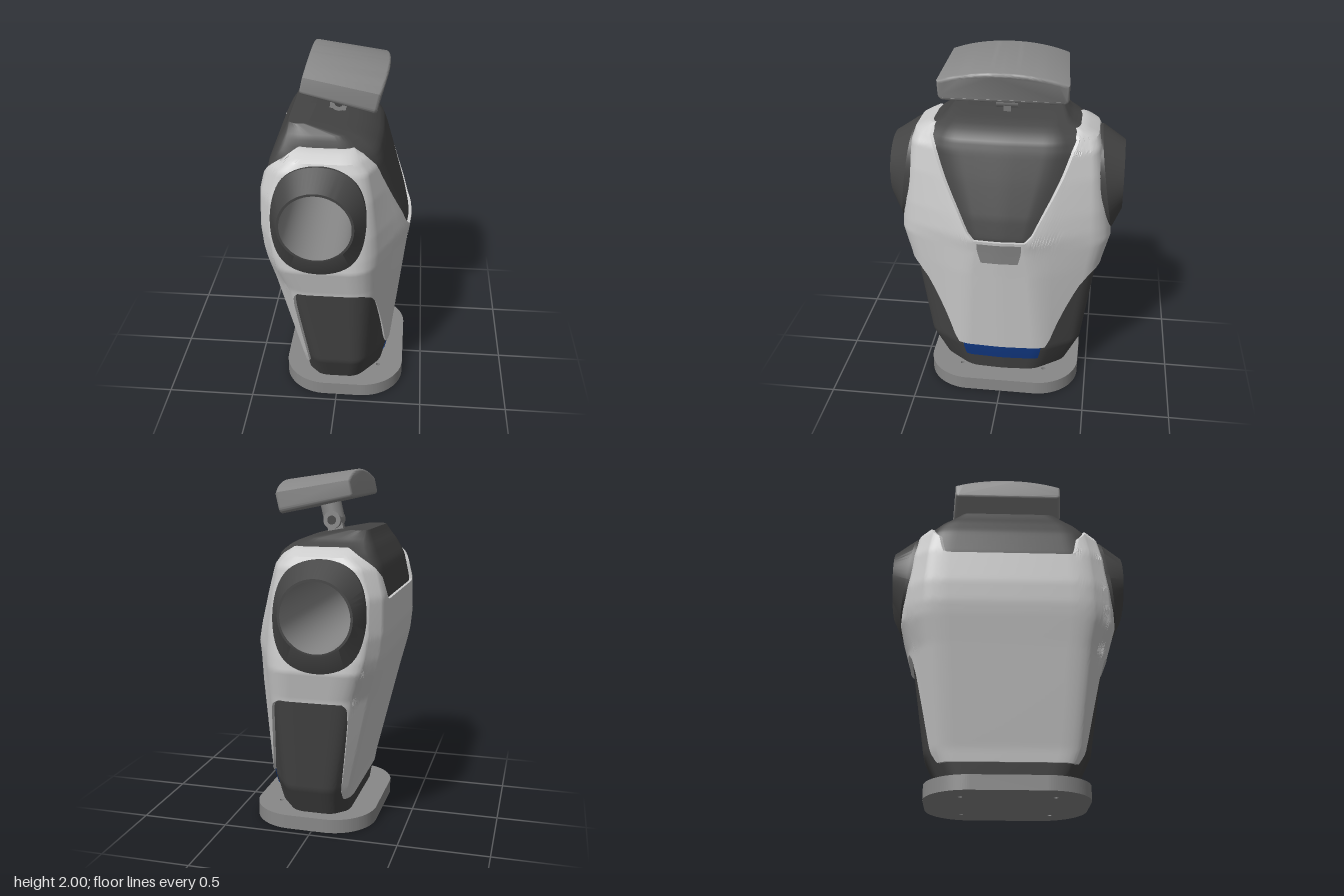
import * as THREE from 'three';
import { toCreasedNormals } from 'three/addons/utils/BufferGeometryUtils.js';

const mat = (color) => new THREE.MeshStandardMaterial({ color, side: THREE.DoubleSide });
const LIGHT = mat(0xcccccc), DARK = mat(0x444444), MID = mat(0x888888), BLUE = mat(0x123a86);
const AXIS = { x: -0.085, y: 1.265 }; // shoulder bore

// Torso sections: y, front x, chest half width, side front x, side z, side back x, back half width, back x
const SECTIONS = [
  [0.08, 0.275, 0.2, 0.12, 0.39, -0.1, 0.3, -0.19],
  [0.25, 0.31, 0.24, 0.15, 0.475, -0.12, 0.36, -0.215],
  [0.8, 0.375, 0.2, 0.18, 0.56, -0.22, 0.42, -0.345],
  [0.96, 0.395, 0.17, 0.18, 0.605, -0.28, 0.44, -0.385],
  [1.03, 0.405, 0.17, 0.18, 0.6, -0.3, 0.44, -0.4],
  [1.15, 0.375, 0.2, 0.18, 0.585, -0.32, 0.44, -0.412],
  [1.35, 0.31, 0.26, 0.17, 0.555, -0.32, 0.43, -0.408],
  [1.5, 0.26, 0.3, 0.15, 0.53, -0.27, 0.41, -0.375],
  [1.56, 0.235, 0.3, 0.1, 0.51, -0.2, 0.4, -0.345],
  [1.6, 0.18, 0.29, 0.08, 0.43, -0.15, 0.38, -0.325],
  [1.615, 0.15, 0.28, 0.06, 0.38, -0.16, 0.36, -0.315],
  [1.64, 0.08, 0.28, 0.03, 0.35, -0.18, 0.33, -0.3],
  [1.68, -0.15, 0.25, -0.17, 0.3, -0.24, 0.27, -0.28],
  [1.684, -0.2, 0, -0.2, 0, -0.22, 0, -0.22],
];

// Linear interpolation in rows of [key, ...values]
function lookup(rows, k) {
  let i = 0;
  while (i < rows.length - 2 && k > rows[i + 1][0]) i++;
  const a = rows[i], b = rows[i + 1];
  const t = THREE.MathUtils.clamp((k - a[0]) / (b[0] - a[0]), 0, 1);
  return a.map((v, n) => v + (b[n] - v) * t).slice(1);
}

// Torso skin: u runs front (0) to side (2..3) to back (5), negative on the other side
function skin(u, y, inset) {
  const [xf, zc, xs, zs, xb2, zb, xb] = lookup(SECTIONS, y);
  const outline = [[0, xf, 0], [1, xf - 0.012, zc], [2, xs, zs], [3, xb2, zs], [4, xb, zb], [5, xb, 0]];
  let x = 0, z = 0;
  for (const d of [-0.2, -0.1, 0, 0.1, 0.2]) { // rounds the corners
    let w = u + d;
    if (w > 5) w -= 10;
    if (w < -5) w += 10;
    const p = lookup(outline, Math.abs(w));
    x += p[0] / 5;
    z += Math.sign(w) * p[1] / 5;
  }
  return [x * (1 - inset), y, z * (1 - inset)];
}

function grid(cols, rows, point, keep = () => true) {
  const pos = [], index = [];
  for (let i = 0; i <= cols; i++) for (let j = 0; j <= rows; j++) pos.push(...point(i, j));
  const ok = (n) => keep(pos[3 * n], pos[3 * n + 1], pos[3 * n + 2]);
  for (let i = 0; i < cols; i++) for (let j = 0; j < rows; j++) {
    const a = i * (rows + 1) + j, b = a + rows + 1;
    for (const t of [[a, a + 1, b], [b, a + 1, b + 1]]) if (t.every(ok)) index.push(...t);
  }
  const g = new THREE.BufferGeometry();
  g.setAttribute('position', new THREE.Float32BufferAttribute(pos, 3));
  g.setIndex(index);
  g.computeVertexNormals();
  return toCreasedNormals(g, 0.5);
}

// Piece of skin between two edge curves, with an optional turned-in rim
function patch(u0, u1, cols, rows, lo, hi, inset, rim = 0) {
  const outside = (x, y, z) => Math.abs(z) < 0.3 || Math.hypot(x - AXIS.x, y - AXIS.y) > 0.2;
  return grid(cols, rows + 2, (i, j) => {
    const u = u0 + (u1 - u0) * i / cols;
    const v = THREE.MathUtils.clamp((j - 1) / rows, 0, 1);
    const edge = j === 0 || j === rows + 2;
    return skin(u, lo(u) + (hi(u) - lo(u)) * v, inset + (edge ? rim : 0));
  }, outside);
}

const edgeCurve = (rows) => (u) => lookup(rows, Math.abs(u))[0];
const flat = (y) => () => y;

function roundedRect(x0, x1, z, r) {
  const s = new THREE.Shape(), q = Math.PI / 2;
  s.absarc(x1 - r, z - r, r, 0, q);
  s.absarc(x0 + r, z - r, r, q, 2 * q);
  s.absarc(x0 + r, r - z, r, 2 * q, 3 * q);
  s.absarc(x1 - r, r - z, r, 3 * q, 4 * q);
  return s;
}

export function createModel() {
  const model = new THREE.Group();
  const add = (name, geometry, material, parent = model) => {
    const m = new THREE.Mesh(geometry, material);
    m.name = name;
    parent.add(m);
    return m;
  };

  // Base plate with four screw holes
  const plate = roundedRect(-0.32, 0.385, 0.45, 0.25);
  for (const x of [-0.17, 0.24]) for (const z of [-0.25, 0.25]) {
    plate.holes.push(new THREE.Path().absarc(x, z, 0.012, 0, Math.PI * 2, true));
  }
  const base = add('basePlate', new THREE.ExtrudeGeometry(plate, { depth: 0.08, bevelEnabled: false, curveSegments: 16 }), MID);
  base.rotation.x = -Math.PI / 2;

  // Dark inner body and its top
  add('innerBody', patch(-5, 5, 160, 76, flat(0.08), flat(1.68), 0.04), DARK);
  add('innerBodyTop', patch(-5, 5, 160, 1, flat(1.68), flat(1.684), 0.04), DARK);

  // Light outer shell: V neckline, side cut-outs, straight back
  const lower = edgeCurve([[0, 0.27], [1.08, 0.27], [1.2, 0.32], [1.7, 0.68], [1.85, 0.75], [2.05, 0.785],
    [3, 0.785], [3.15, 0.75], [3.25, 0.66], [3.5, 0.23], [3.6, 0.18], [5, 0.18]]);
  const upper = edgeCurve([[0, 1.03], [0.85, 1.03], [0.97, 1.07], [1.36, 1.5], [1.55, 1.57], [1.8, 1.6],
    [3.3, 1.6], [4, 1.45], [4.12, 1.34], [4.2, 1.33], [5, 1.33]]);
  add('outerShell', patch(-5, 5, 240, 56, lower, upper, 0, 0.05), LIGHT);

  // Blue band at the foot of the chest and the badge plate under the neckline
  add('blueBand', patch(-1, 1, 20, 3, flat(0.175), flat(0.27), 0.025, 0.03), BLUE);
  add('chestPlate', grid(16, 4, (i, j) => {
    const v = j / 4;
    return skin((i / 8 - 1) * (0.56 + 0.16 * Math.min(1, v * 1.6)), 0.89 + 0.125 * v, -0.008);
  }), MID);

  // Shoulder collars: oval at the shell, round at the bore
  for (const side of [1, -1]) {
    const collar = grid(64, 3, (i, j) => {
      const a = i / 64 * Math.PI * 2 * -side, c = Math.cos(a), s = Math.sin(a);
      const k = Math.pow(c ** 4 + s ** 4, -0.09);
      if (j >= 2) {
        const r = j === 2 ? 0.2 : 0.187;
        return [AXIS.x + r * c, AXIS.y + r * s, side * 0.66];
      }
      const y = 1.255 + 0.293 * k * s;
      const z = 0.53 + (1.55 - y) * 0.14 - (j === 0 ? 0.05 : 0);
      return [-0.08 + 0.25 * k * c, y, side * z];
    });
    add(side > 0 ? 'frontShoulderCollar' : 'backShoulderCollar', collar, DARK);
  }
  const bore = add('shoulderBore', new THREE.CylinderGeometry(0.187, 0.187, 1.32, 64, 1, true), MID);
  bore.rotation.x = Math.PI / 2;
  bore.position.set(AXIS.x, AXIS.y, 0);

  // Neck joint
  const neck = new THREE.Group();
  neck.name = 'neck';
  neck.position.set(-0.015, 1.715, 0);
  neck.rotation.z = -0.22;
  model.add(neck);
  add('neckPost', new THREE.CylinderGeometry(0.06, 0.06, 0.1, 32), MID, neck).position.y = 0.055;
  add('neckFin', new THREE.BoxGeometry(0.09, 0.1, 0.04), MID, neck).position.y = -0.035;
  const pivot = add('neckPivot', new THREE.CylinderGeometry(0.05, 0.05, 0.12, 32), MID, neck);
  pivot.rotation.x = Math.PI / 2;
  const pin = add('neckPin', new THREE.CylinderGeometry(0.025, 0.025, 0.13, 24), DARK, neck);
  pin.rotation.x = Math.PI / 2;

  // Arched head slab, a little taller and wider towards its face
  const arch = new THREE.Shape();
  arch.moveTo(-0.31, 0.015);
  arch.lineTo(0.31, 0.015);
  arch.quadraticCurveTo(0.325, 0.015, 0.325, 0.03);
  arch.lineTo(0.325, 0.085);
  arch.quadraticCurveTo(0.18, 0.138, 0, 0.138);
  arch.quadraticCurveTo(-0.18, 0.138, -0.325, 0.085);
  arch.lineTo(-0.325, 0.03);
  arch.quadraticCurveTo(-0.325, 0.015, -0.31, 0.015);
  let headGeo = new THREE.ExtrudeGeometry(arch, { depth: 0.4, bevelSize: 0.015, bevelThickness: 0.015, bevelSegments: 4, curveSegments: 16 });
  const p = headGeo.attributes.position;
  for (let i = 0; i < p.count; i++) {
    const t = THREE.MathUtils.clamp(p.getZ(i) / 0.4, 0, 1), w = p.getX(i);
    p.setXYZ(i, w * (0.95 + 0.08 * t), p.getY(i) * (1 + 0.2 * t), p.getZ(i) - 0.2 * t * w * w);
  }
  headGeo.deleteAttribute('normal');
  headGeo = toCreasedNormals(headGeo, 0.6);
  headGeo.rotateY(Math.PI / 2);
  const head = add('head', headGeo, MID);
  head.position.set(-0.185, 1.848, 0);
  head.rotation.z = -0.22;

  return model;
}
